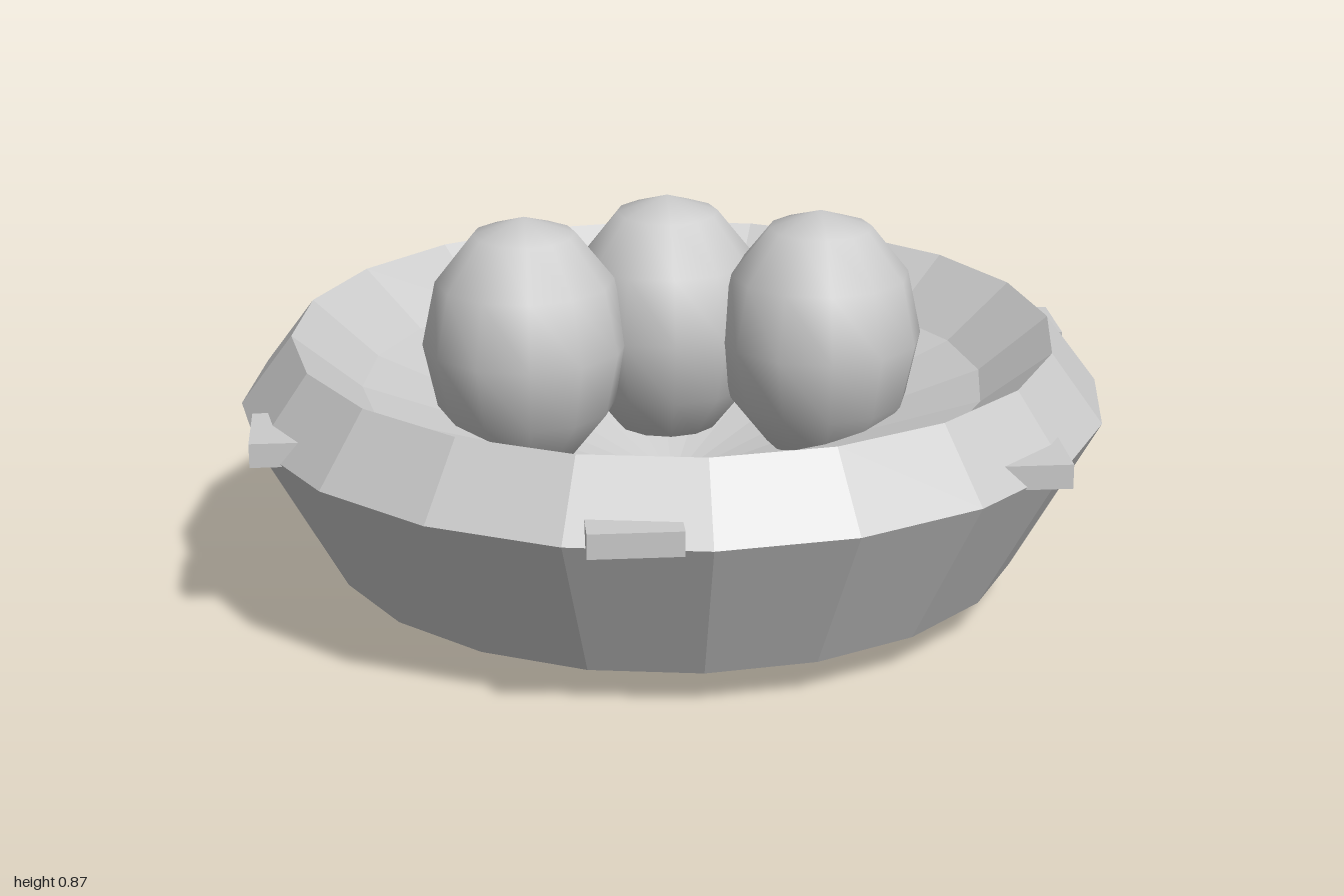
import * as THREE from 'three';

export function createModel() {
  const group = new THREE.Group();
  const flat = new THREE.MeshStandardMaterial({ color: 0xcccccc, flatShading: true });
  const smooth = new THREE.MeshStandardMaterial({ color: 0xcccccc });

  const add = (name, geometry, material, x, y, z) => {
    const mesh = new THREE.Mesh(geometry, material);
    mesh.name = name;
    mesh.position.set(x, y, z);
    group.add(mesh);
  };

  // Faceted nest bowl: underside, flared wall, bevelled rim, sloping inner wall, conical hollow
  const profile = [
    [0, 0], [0.797, 0.08], [0.994, 0.438], [0.875, 0.597], [0.717, 0.47], [0, 0.22],
  ].map(([r, y]) => new THREE.Vector2(r, y));
  add('nestBowl', new THREE.LatheGeometry(profile, 20), flat, 0, 0, 0);

  // Square twig ends poking out around the widest ring, all aligned to the axes
  const twig = new THREE.BoxGeometry(0.2, 0.055, 0.2);
  for (let i = 0; i < 6; i++) {
    const a = THREE.MathUtils.degToRad(40 + i * 60);
    add('twig' + (i + 1), twig, flat, Math.cos(a) * 0.914, 0.459, Math.sin(a) * 0.914);
  }

  // Three upright eggs
  const egg = new THREE.SphereGeometry(0.237, 12, 6).scale(1, 1.26, 1);
  [[-0.34, 0], [0, -0.16], [0.34, 0]].forEach(([x, z], i) => {
    add('egg' + (i + 1), egg, smooth, x, 0.568, z);
  });

  return group;
}
